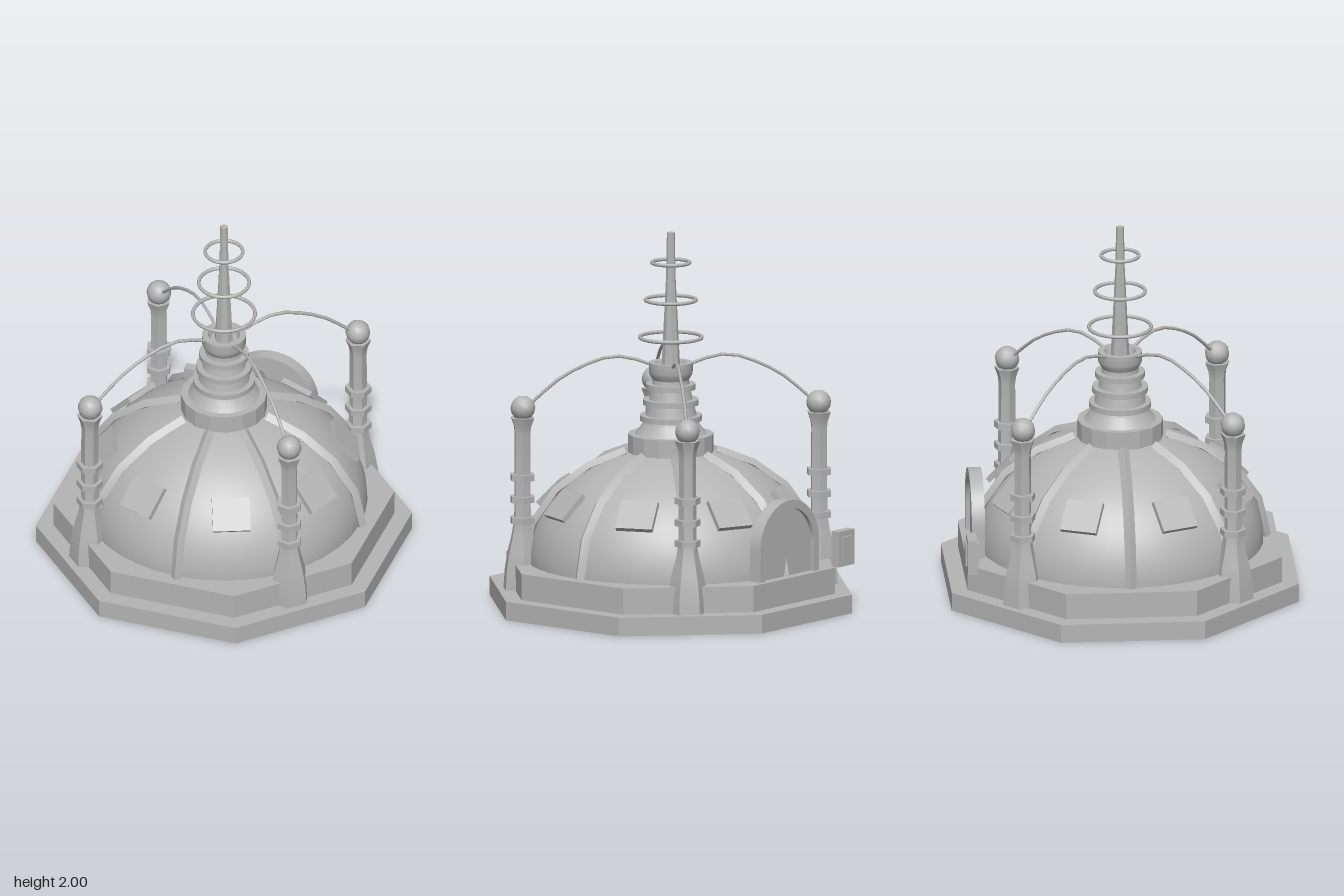
import * as THREE from 'three';
import { toCreasedNormals } from 'three/addons/utils/BufferGeometryUtils.js';

export function createModel() {
  const stone = new THREE.MeshStandardMaterial({ color: 0xb4b4b4 });
  stone.name = 'grey stone';
  const model = new THREE.Group();
  model.name = 'domedObservatory';

  const add = (parent, name, geometry, crease = 0.6) => {
    const mesh = new THREE.Mesh(crease ? toCreasedNormals(geometry, crease) : geometry, stone);
    mesh.name = name;
    parent.add(mesh);
    return mesh;
  };
  const lathe = (points, sides) =>
    new THREE.LatheGeometry(points.map(([r, y]) => new THREE.Vector2(r, y)), sides);
  const spoke = (name, angle) => {
    const group = new THREE.Group();
    group.name = name;
    group.rotation.y = angle;
    model.add(group);
    return group;
  };

  // Octagonal steps
  const step = (name, apothem, y0, y1) => {
    const r = apothem / Math.cos(Math.PI / 8);
    const g = new THREE.CylinderGeometry(r, r, y1 - y0, 8).rotateY(Math.PI / 8);
    add(model, name, g.translate(0, (y0 + y1) / 2, 0));
  };
  step('lowerStep', 0.922, 0, 0.1);
  step('upperStep', 0.835, 0.1, 0.24);

  // Dome
  const dome = new THREE.SphereGeometry(1, 40, 16, 0, Math.PI * 2, 0, Math.PI / 2);
  add(model, 'dome', dome.scale(0.76, 0.61, 0.76).translate(0, 0.24, 0), 0);

  // Eight ribs of diamond section, bent at every 18 degrees
  const ribPath = new THREE.CurvePath();
  const ribPoint = (i) => {
    const a = (i * Math.PI) / 10;
    return new THREE.Vector3(0.772 * Math.cos(a), 0.24 + 0.612 * Math.sin(a), 0);
  };
  const ribCurve = new THREE.CatmullRomCurve3([0, 1, 2, 3, 4].map(ribPoint));
  for (let i = 0; i < 8; i++) {
    add(spoke('ribSpoke', (i * Math.PI) / 4), 'rib', new THREE.TubeGeometry(ribCurve, 4, 0.03, 4), 0.4);
  }

  // Eight tilted roof windows between the ribs
  for (let i = 0; i < 8; i++) {
    const pane = add(spoke('windowSpoke', ((i + 0.5) * Math.PI) / 4), 'window', new THREE.BoxGeometry(0.18, 0.028, 0.2));
    pane.position.set(0.643, 0.585, 0);
    pane.rotation.z = -0.8;
  }

  // Corner pylons with bands, ball and cable
  const column = [[0.11, 0.1], [0.103, 0.2], [0.088, 0.29], [0.062, 0.39], [0.048, 0.47],
    [0.045, 0.93], [0.05, 0.97], [0.068, 1.02], [0, 1.02]];
  const cable = new THREE.CatmullRomCurve3([[0.74, 1.1], [0.6, 1.22], [0.45, 1.3], [0.31, 1.34],
    [0.2, 1.325], [0.1, 1.29]].map(([x, y]) => new THREE.Vector3(x, y, 0)));
  for (let i = 0; i < 4; i++) {
    const group = spoke('pylon', Math.PI / 4 + (i * Math.PI) / 2);
    add(group, 'column', lathe(column, 6)).position.x = 0.79;
    for (const y of [0.47, 0.582, 0.7]) {
      add(group, 'columnBand', new THREE.CylinderGeometry(0.07, 0.07, 0.034, 6)).position.set(0.79, y, 0);
    }
    add(group, 'ball', new THREE.SphereGeometry(0.066, 12, 8), 0).position.set(0.788, 1.07, 0);
    add(group, 'cable', new THREE.TubeGeometry(cable, 8, 0.009, 6), 0);
  }

  // Stepped tower on the crown
  add(model, 'collar', new THREE.CylinderGeometry(0.228, 0.228, 0.1, 16), 0.3).position.y = 0.87;
  add(model, 'tower', lathe([[0.19, 0.92], [0.155, 0.965], [0.138, 1.0], [0.135, 1.03], [0.118, 1.09],
    [0.113, 1.12], [0.1, 1.17], [0.097, 1.21], [0.112, 1.235], [0.117, 1.25], [0.117, 1.302],
    [0.085, 1.302], [0.072, 1.272], [0, 1.272]], 24));
  for (const [r, y] of [[0.165, 1.005], [0.148, 1.09], [0.132, 1.173]]) {
    add(model, 'towerBand', new THREE.CylinderGeometry(r, r, 0.03, 24)).position.y = y;
  }

  // Spire and its hoops
  add(model, 'spire', lathe([[0.05, 1.27], [0.047, 1.33], [0.025, 1.77], [0.021, 2], [0, 2]], 8));
  for (const [r, y] of [[0.165, 1.436], [0.134, 1.637], [0.1, 1.838]]) {
    add(model, 'hoop', new THREE.TorusGeometry(r, 0.01, 8, 32).rotateX(Math.PI / 2), 0).position.y = y;
  }

  // Arched doorway at the back
  const arch = (shape, r) => {
    shape.moveTo(-r, 0.24);
    shape.lineTo(r, 0.24);
    shape.lineTo(r, 0.4);
    shape.absarc(0, 0.4, r, 0, Math.PI, false);
    shape.lineTo(-r, 0.24);
    return shape;
  };
  const frame = arch(new THREE.Shape(), 0.25);
  frame.holes.push(arch(new THREE.Path(), 0.205));
  const extrude = (shape, depth) =>
    new THREE.ExtrudeGeometry(shape, { depth, bevelEnabled: false, curveSegments: 16 });
  add(model, 'doorFrame', extrude(frame, 0.07)).position.z = -0.805;
  add(model, 'doorPanel', extrude(arch(new THREE.Shape(), 0.207), 0.03)).position.z = -0.782;

  // Control box beside the door
  add(model, 'controlBox', new THREE.BoxGeometry(0.132, 0.19, 0.05)).position.set(-0.433, 0.335, -0.82);
  add(model, 'controlPlate', new THREE.BoxGeometry(0.088, 0.12, 0.074)).position.set(-0.433, 0.34, -0.818);

  return model;
}
